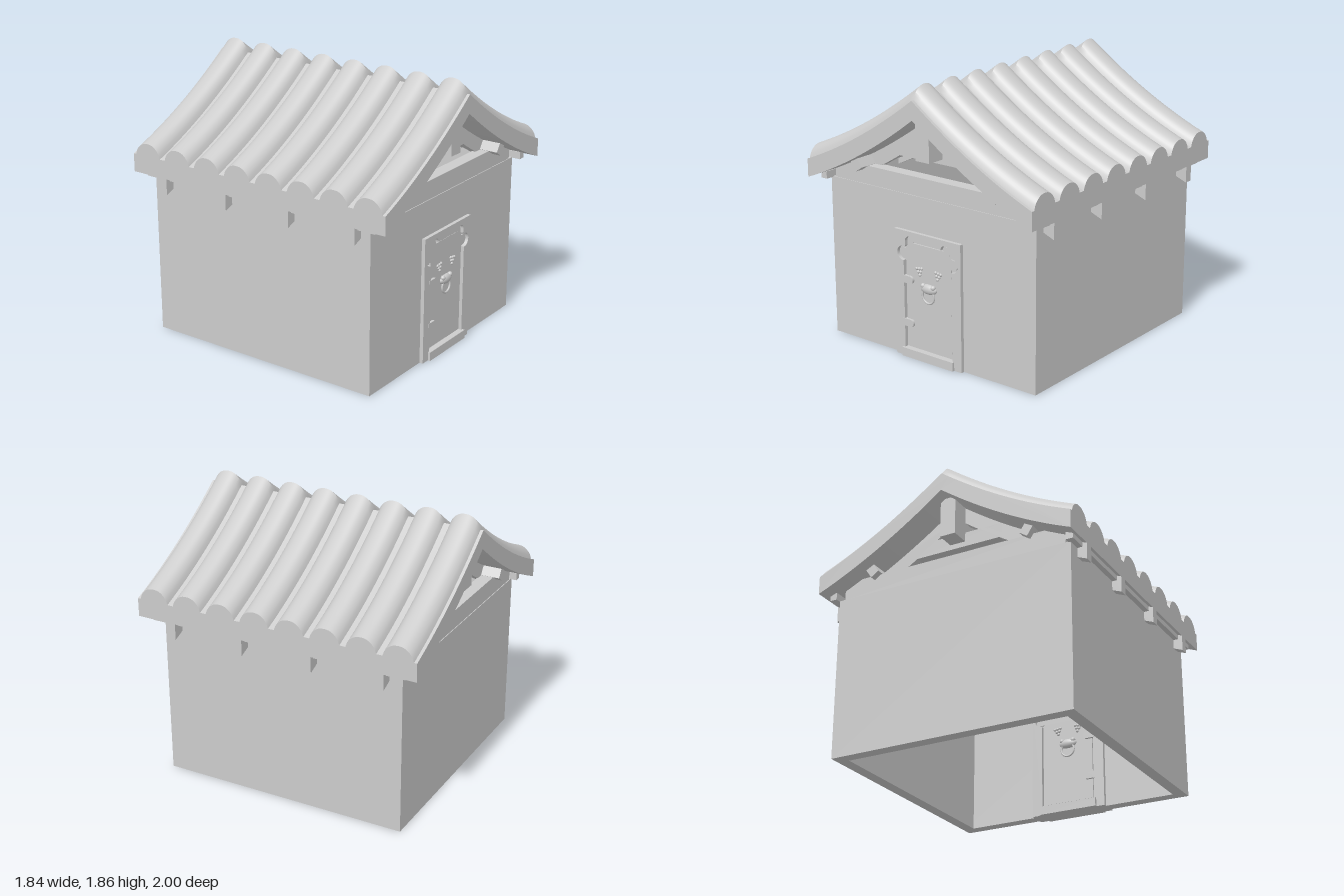
import * as THREE from 'three';
import { toCreasedNormals } from 'three/addons/utils/BufferGeometryUtils.js';

const grey = new THREE.MeshStandardMaterial({ color: 0xcccccc });
const HALF = 0.92;                      // half width of the roof
const CX = -0.0075;                     // centre line of walls and door
const DOOR_Z = 0.81;                    // middle plane of the front wall

// Sagging roof curve, measured down from its ridge height
const roofY = (x, ridge) => {
  const s = Math.abs(x) / HALF;
  return ridge - 0.525 * s - 0.16 * s * (1 - s);
};

function add(parent, name, geometry, x = 0, y = 0, z = 0) {
  const mesh = new THREE.Mesh(geometry, grey);
  mesh.name = name;
  mesh.position.set(x, y, z);
  parent.add(mesh);
  return mesh;
}

const box = (parent, name, w, h, d, x, y, z) =>
  add(parent, name, new THREE.BoxGeometry(w, h, d), x, y, z);

// Extrusion centred on z = 0
function extrude(shape, depth, curveSegments = 12) {
  const g = new THREE.ExtrudeGeometry(shape, { depth, bevelEnabled: false, curveSegments });
  return g.translate(0, 0, -depth / 2);
}

// Band that follows the roof curve between two ridge heights
function roofBand(top, bottom, depth) {
  const upper = [], lower = [], n = 32;
  for (let i = 0; i <= n; i++) {
    const x = -HALF + (2 * HALF * i) / n;
    upper.push(new THREE.Vector2(x, roofY(x, top)));
    lower.push(new THREE.Vector2(x, roofY(x, bottom)));
  }
  return toCreasedNormals(extrude(new THREE.Shape([...lower, ...upper.reverse()]), depth), 0.5);
}

// Rows of rounded tiles running down both slopes
function tileGeometry() {
  const rows = 8, perRow = 24, nx = 40, nz = rows * perRow;
  const pos = [], index = [];
  for (let i = -1; i <= nx + 1; i++) {
    const x = -HALF + (2 * HALF * Math.min(Math.max(i, 0), nx)) / nx;
    const eave = i < 0 || i > nx;       // extra row closes the tile ends
    for (let j = 0; j <= nz; j++) {
      const u = Math.abs(((j % perRow) / perRow - 0.5) * 0.25) / 0.104;
      const bump = u < 1 ? 0.086 * Math.pow(1 - Math.pow(u, 2.3), 0.7) : 0;
      pos.push(x, roofY(x, 1.77) + (eave ? -0.01 : bump), -1 + (2 * j) / nz);
    }
  }
  const w = nz + 1;
  for (let i = 0; i < nx + 2; i++) for (let j = 0; j < nz; j++) {
    const a = i * w + j, b = a + w;
    index.push(a, a + 1, b, b, a + 1, b + 1);
  }
  const g = new THREE.BufferGeometry();
  g.setAttribute('position', new THREE.Float32BufferAttribute(pos, 3));
  g.setIndex(index);
  return toCreasedNormals(g, 0.8);
}

// Door outline with two round ears and two small horns, inset by o
function doorOutline(o, PathType) {
  const p = new PathType(), hw = 0.2 - o, top = 0.8 - o, P = Math.PI;
  const ear = 0.048 - o, horn = 0.036 - o;
  p.moveTo(-hw, 0.06 + o);
  p.lineTo(hw, 0.06 + o);
  p.lineTo(hw, 0.71 - ear);
  p.absarc(0.205, 0.71, ear, -P / 2, P * 0.6, false);
  p.lineTo(0.186 - o, 0.765);
  p.absarc(0.15, 0.795, horn, 0, P, false);
  p.lineTo(0.15 - horn, top);
  p.lineTo(-0.15 + horn, top);
  p.absarc(-0.15, 0.795, horn, 0, P, false);
  p.lineTo(-0.186 + o, 0.765);
  p.absarc(-0.205, 0.71, ear, P * 0.4, P * 1.5, false);
  p.lineTo(-hw, 0.71 - ear);
  p.closePath();
  return p;
}

function makeRoof() {
  const roof = new THREE.Group();
  roof.name = 'roof';
  add(roof, 'roofTiles', tileGeometry());
  add(roof, 'roofSlab', roofBand(1.77, 1.645, 2));

  // Four trusses: curved rafters with a collar beam
  const rafter = roofBand(1.66, 1.535, 0.06);
  for (const z of [-0.75, -0.25, 0.25, 0.75]) {
    add(roof, 'rafter', rafter, 0, 0, z);
    box(roof, 'collarBeam', 0.66, 0.1, 0.06, 0, 1.375, z);
  }

  // Beams along the length of the house
  box(roof, 'ridgeBeam', 0.11, 0.27, 1.82, 0, 1.495, 0);
  for (const s of [-1, 1]) {
    const purlin = box(roof, 'purlin', 0.065, 0.1, 1.82, s * 0.575, 1.257, 0);
    purlin.rotation.z = -s * 0.58;
    box(roof, 'eavePlate', 0.05, 0.05, 1.82, s * 0.865, 1.125, 0);
  }
  return roof;
}

function makeWalls() {
  const walls = new THREE.Group();
  walls.name = 'walls';
  box(walls, 'frontWall', 1.695, 1.105, 0.08, CX, 0.5525, DOOR_Z);
  box(walls, 'backWall', 1.695, 1.105, 0.08, CX, 0.5525, -0.83);
  for (const s of [-1, 1]) {
    box(walls, 'sideWall', 0.08, 1.125, 1.56, CX + s * 0.8075, 0.5625, -0.01);
  }
  // Tie beams across the gables
  for (const z of [0.8, -0.82]) {
    box(walls, 'tieBeam', 1.62, 0.125, 0.09, CX, 1.1675, z);
  }
  return walls;
}

function makeDoor() {
  const door = new THREE.Group();
  door.name = 'door';
  door.position.set(CX, 0, DOOR_Z);

  const frame = new THREE.Shape();
  frame.moveTo(-0.276, 0).lineTo(0.276, 0).lineTo(0.276, 0.865).lineTo(-0.276, 0.865);
  frame.closePath();
  frame.holes.push(doorOutline(0, THREE.Path));
  add(door, 'doorFrame', extrude(frame, 0.13));
  add(door, 'doorPanel', extrude(doorOutline(0.013, THREE.Shape), 0.1));
  box(door, 'threshold', 0.43, 0.06, 0.165, 0, 0.03, 0);

  // Hinge straps with a rounded end
  const strap = new THREE.Shape();
  strap.moveTo(-0.215, -0.025).lineTo(-0.15, -0.025);
  strap.absarc(-0.15, 0, 0.025, -Math.PI / 2, Math.PI / 2, false);
  strap.lineTo(-0.215, 0.025);
  const strapGeo = extrude(strap, 0.134);
  for (const y of [0.235, 0.535]) add(door, 'hinge', strapGeo, 0, y, 0);

  // Stud eyes, muzzle and ring knocker on both faces
  const stud = new THREE.SphereGeometry(0.011, 10, 8);
  for (const side of [-1, 1]) {
    const z = side * 0.05;
    for (const s of [-1, 1]) {
      for (let row = 0; row < 3; row++) for (let k = 0; k < 3 - row; k++) {
        const dx = (k - (2 - row) / 2) * 0.021;
        add(door, 'eyeStud', stud, s * (0.08 + dx - row * 0.003), 0.626 - row * 0.021 - dx * 0.15, z);
      }
      add(door, 'nostril', new THREE.SphereGeometry(0.017, 14, 10), s * 0.042, 0.522, z + side * 0.008);
    }
    const muzzle = add(door, 'muzzle', new THREE.SphereGeometry(1, 24, 16), 0, 0.502, z);
    muzzle.scale.set(0.066, 0.034, 0.027);
    add(door, 'knockerRing', new THREE.TorusGeometry(0.048, 0.007, 10, 32), 0, 0.455, z + side * 0.008);
  }
  return door;
}

export function createModel() {
  const model = new THREE.Group();
  model.name = 'house';
  model.add(makeWalls(), makeDoor(), makeRoof());
  return model;
}
